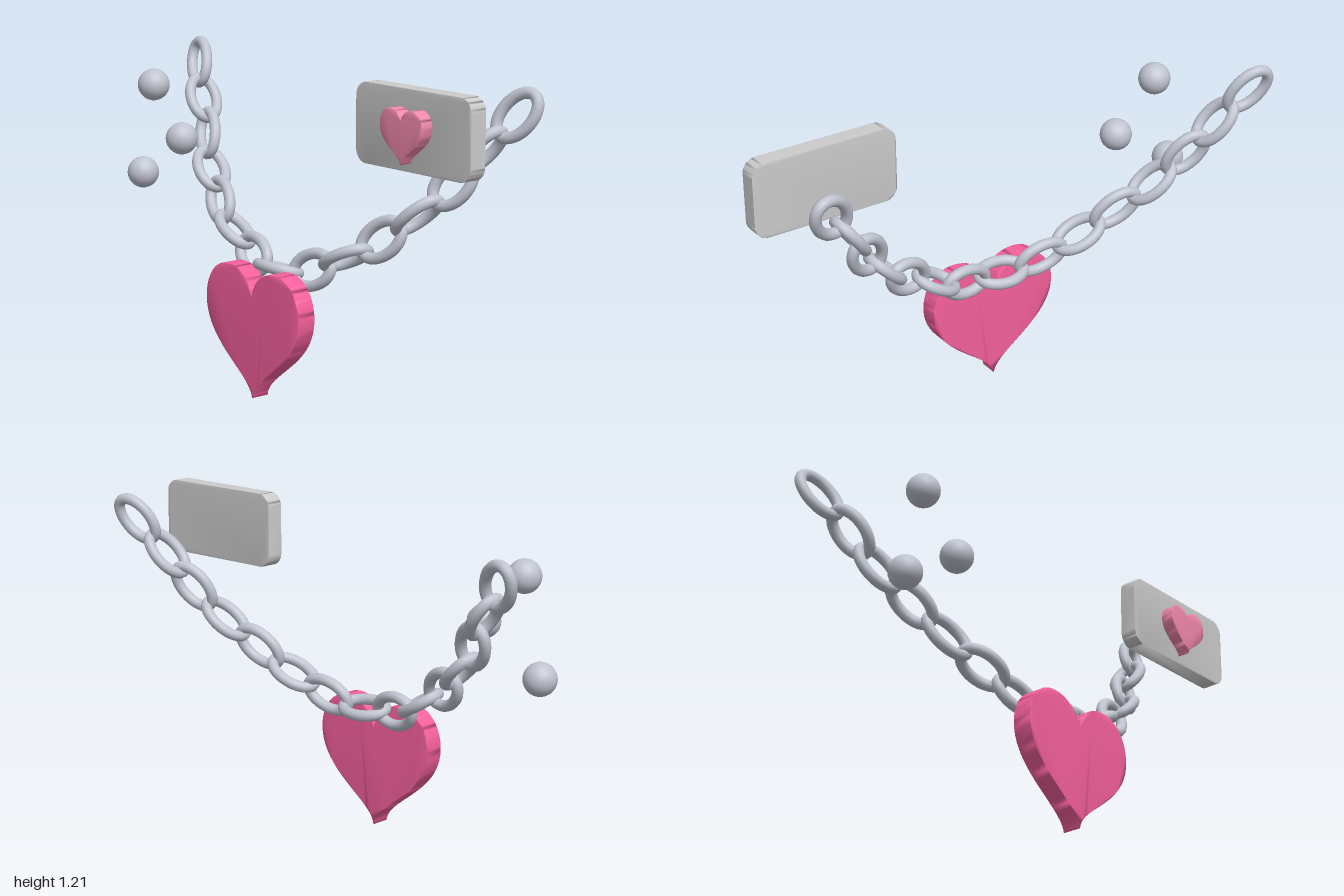
import * as THREE from 'three';
import { mergeVertices } from 'three/addons/utils/BufferGeometryUtils.js';

const metal = new THREE.MeshStandardMaterial({ color: 0xc0c4d0 });
const grey = new THREE.MeshStandardMaterial({ color: 0xcccccc });
const pink = new THREE.MeshStandardMaterial({ color: 0xf5609c });
const palePink = new THREE.MeshStandardMaterial({ color: 0xf088ac });
const MID = -0.023; // the chain hangs symmetrically about this x

// Closed ellipse used as the centre line of a link
class Ellipse3 extends THREE.Curve {
  constructor(a, b) { super(); this.a = a; this.b = b; }
  getPoint(t, target = new THREE.Vector3()) {
    const w = t * Math.PI * 2;
    return target.set(this.a * Math.cos(w), this.b * Math.sin(w), 0);
  }
}

// Flat extrusion with softly blended normals
function softExtrude(shape, depth, curveSegments) {
  const g = new THREE.ExtrudeGeometry(shape, { depth, curveSegments, bevelEnabled: false });
  g.deleteAttribute('normal');
  g.deleteAttribute('uv');
  const merged = mergeVertices(g, 1e-4);
  merged.computeVertexNormals();
  return merged;
}

// Heart with its tip at the origin
function heartShape(k) {
  const s = new THREE.Shape();
  const half = (m) => {
    const c = m * k;
    if (m > 0) {
      s.moveTo(0, 0);
      s.bezierCurveTo(0.01 * c, 0.09 * k, 0.267 * c, 0.16 * k, 0.267 * c, 0.335 * k);
      s.bezierCurveTo(0.267 * c, 0.42 * k, 0.21 * c, 0.483 * k, 0.135 * c, 0.483 * k);
      s.bezierCurveTo(0.06 * c, 0.483 * k, 0.01 * c, 0.44 * k, 0, 0.375 * k);
    } else {
      s.bezierCurveTo(0.01 * c, 0.44 * k, 0.06 * c, 0.483 * k, 0.135 * c, 0.483 * k);
      s.bezierCurveTo(0.21 * c, 0.483 * k, 0.267 * c, 0.42 * k, 0.267 * c, 0.335 * k);
      s.bezierCurveTo(0.267 * c, 0.16 * k, 0.01 * c, 0.09 * k, 0, 0);
    }
  };
  half(1);
  half(-1);
  return s;
}

function roundedRect(w, h, r) {
  const s = new THREE.Shape();
  const x = w / 2 - r, y = h / 2 - r;
  s.absarc(x, y, r, 0, Math.PI / 2);
  s.absarc(-x, y, r, Math.PI / 2, Math.PI);
  s.absarc(-x, -y, r, Math.PI, Math.PI * 1.5);
  s.absarc(x, -y, r, Math.PI * 1.5, Math.PI * 2);
  s.closePath();
  return s;
}

function add(parent, name, geometry, material, x, y, z) {
  const m = new THREE.Mesh(geometry, material);
  m.name = name;
  m.position.set(x, y, z);
  parent.add(m);
  return m;
}

export function createModel() {
  const model = new THREE.Group();
  model.name = 'charmNecklace';

  // Chain: link centres from the middle outwards, mirrored to both sides
  const half = [
    [0, 0.468, 0.12], [0.168, 0.49, 0.1], [0.318, 0.556, 0.07], [0.46, 0.64, 0.03],
    [0.585, 0.738, -0.025], [0.692, 0.857, -0.09], [0.783, 0.98, -0.14], [0.885, 1.107, -0.198],
  ];
  const centres = [];
  for (let i = -7; i <= 7; i++) {
    const [u, y, z] = half[Math.abs(i)];
    centres.push(new THREE.Vector3(MID + Math.sign(i) * u, y, z));
  }
  const chain = new THREE.Group();
  chain.name = 'chain';
  model.add(chain);
  const linkGeo = new THREE.TubeGeometry(new Ellipse3(0.093, 0.059), 40, 0.021, 12, true);
  const up = new THREE.Vector3(0, 0.96, -0.27);
  centres.forEach((c, i) => {
    const next = centres[Math.min(i + 1, 14)], prev = centres[Math.max(i - 1, 0)];
    const along = next.clone().sub(prev).normalize();
    const facing = along.clone().cross(up).normalize();
    const across = facing.clone().cross(along);
    // Every second link is turned a quarter
    const basis = i % 2 === 0
      ? new THREE.Matrix4().makeBasis(along, across, facing)
      : new THREE.Matrix4().makeBasis(along, facing, across.clone().negate());
    add(chain, 'chainLink', linkGeo, metal, c.x, c.y, c.z).quaternion.setFromRotationMatrix(basis);
  });

  // Heart pendant
  add(model, 'heartPendant', softExtrude(heartShape(1), 0.073, 20), pink, MID, 0, 0.172);

  // Name plate with a small heart on its face
  add(model, 'tagPlate', softExtrude(roundedRect(0.562, 0.28, 0.05), 0.065, 6), grey, 0.719, 1.072, 0.085);
  add(model, 'tagHeart', softExtrude(heartShape(0.385), 0.05, 12), palePink, 0.715, 0.963, 0.148);

  // Loose beads
  const beadGeo = new THREE.SphereGeometry(0.061, 20, 14);
  for (const [x, y] of [[-0.742, 1.066], [-0.566, 0.88], [-0.82, 0.715]]) {
    add(model, 'bead', beadGeo, metal, x, y, 0.147);
  }
  return model;
}
